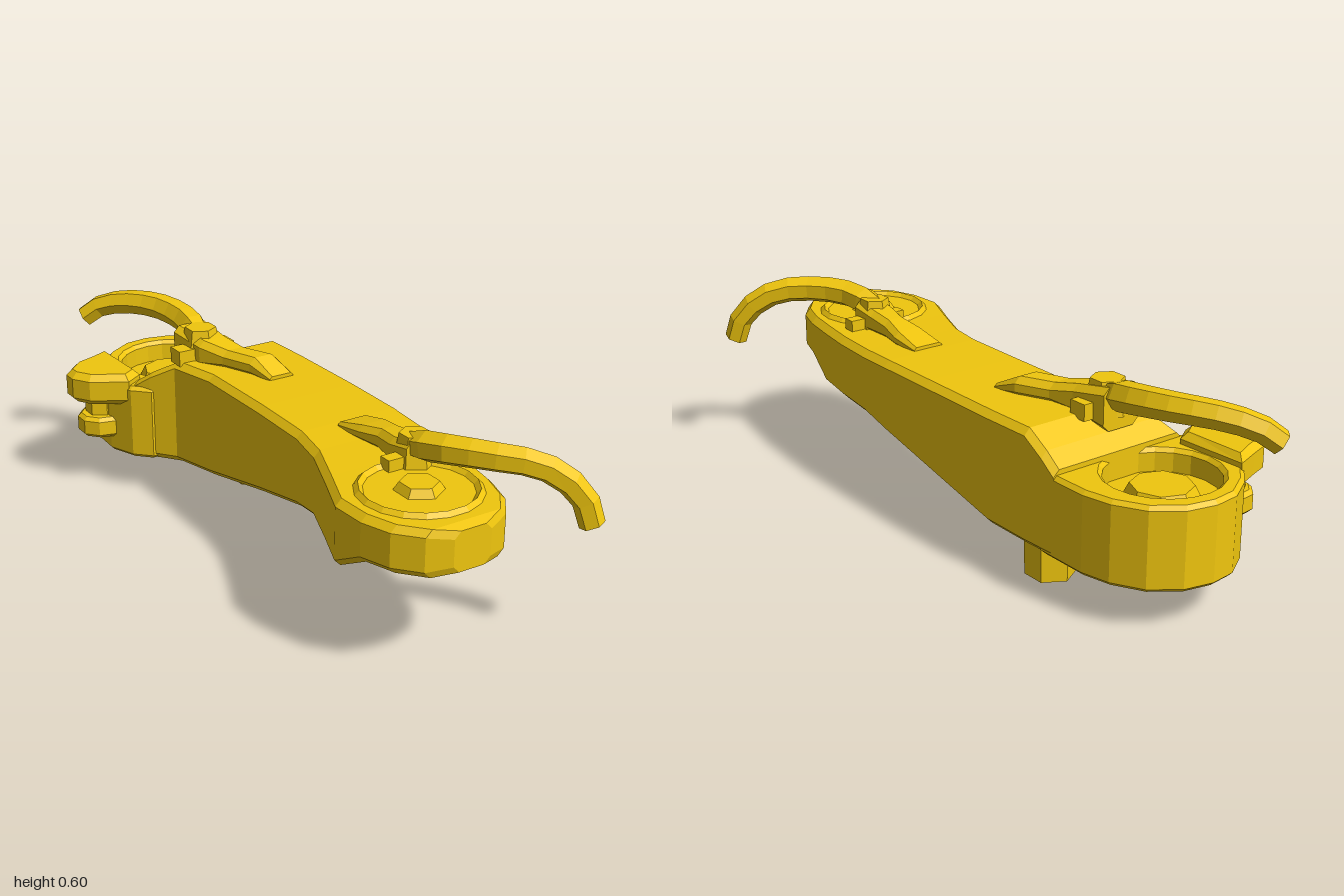
import * as THREE from 'three';

const yellow = new THREE.MeshStandardMaterial({ color: 0xf0c60e, flatShading: true, side: THREE.DoubleSide });

function add(parent, geometry, name, x = 0, y = 0, z = 0) {
  const mesh = new THREE.Mesh(geometry, yellow);
  mesh.name = name;
  mesh.position.set(x, y, z);
  parent.add(mesh);
  return mesh;
}

// Skin bevelled rectangular sections [z, left, right, bottom, top], ordered front to back.
function loft(sections, bevel) {
  const pos = [], index = [];
  for (const [z, l, r, b, t] of sections) {
    const c = Math.min(bevel, (r - l) / 3, (t - b) / 3);
    for (const [x, y] of [[l + c, b], [r - c, b], [r, b + c], [r, t - c], [r - c, t], [l + c, t], [l, t - c], [l, b + c]]) pos.push(x, y, z);
  }
  const n = 8, last = (sections.length - 1) * n;
  for (let s = 0; s < last; s += n) {
    for (let i = 0; i < n; i++) {
      const j = (i + 1) % n;
      index.push(s + i, s + n + i, s + j, s + j, s + n + i, s + n + j);
    }
  }
  for (let i = 1; i < n - 1; i++) index.push(0, i, i + 1, last, last + i + 1, last + i);
  const g = new THREE.BufferGeometry();
  g.setAttribute('position', new THREE.Float32BufferAttribute(pos, 3));
  g.setIndex(index);
  return g;
}

// Extrude a plan outline of [x, z] points upwards from y0 to y1.
function slab(points, y0, y1, bevel = 0.015, hole = null) {
  const shape = new THREE.Shape(points.map(([x, z]) => new THREE.Vector2(x, -z)));
  if (hole) shape.holes.push(new THREE.Path().absarc(hole[0], -hole[1], hole[2], 0, Math.PI * 2, true));
  const g = new THREE.ExtrudeGeometry(shape, {
    depth: y1 - y0 - 2 * bevel, bevelEnabled: bevel > 0, bevelSize: bevel, bevelThickness: bevel,
    bevelOffset: -bevel, bevelSegments: 1, curveSegments: 10,
  });
  g.rotateX(-Math.PI / 2);
  g.translate(0, y0 + bevel, 0);
  return g;
}

// Closed faceted tube through the points, narrowing a little towards its tip.
function hook(points, radius) {
  const curve = new THREE.CatmullRomCurve3(points.map((p) => new THREE.Vector3(...p)));
  const rows = 9, sides = 6;
  const g = new THREE.TubeGeometry(curve, rows, radius, sides, false);
  const p = g.attributes.position, v = new THREE.Vector3();
  for (let i = 0; i <= rows; i++) {
    const centre = curve.getPointAt(i / rows);
    const scale = i === 0 ? 0.8 : 1.1 - 0.25 * (i / rows);
    for (let j = 0; j <= sides; j++) {
      const k = i * (sides + 1) + j;
      v.fromBufferAttribute(p, k).sub(centre).multiplyScalar(scale).add(centre);
      p.setXYZ(k, v.x, v.y, v.z);
    }
  }
  const index = Array.from(g.index.array), end = rows * (sides + 1);
  for (let i = 1; i < sides - 1; i++) index.push(0, i, i + 1, end, end + i + 1, end + i);
  g.setIndex(index);
  return g;
}

export function createModel() {
  const model = new THREE.Group();
  model.name = 'linkArm';

  // Long beam: thin at the front, deeper at the back
  add(model, loft([
    [0.93, -0.09, 0.03, 0.34, 0.46],
    [0.90, -0.16, 0.10, 0.33, 0.47],
    [0.83, -0.22, 0.155, 0.33, 0.47],
    [0.74, -0.25, 0.185, 0.33, 0.47],
    [0.63, -0.255, 0.205, 0.27, 0.47],
    [0.50, -0.20, 0.225, 0.265, 0.47],
    [0.35, -0.14, 0.24, 0.26, 0.472],
    [0.22, -0.115, 0.247, 0.235, 0.475],
    [0, -0.11, 0.25, 0.19, 0.475],
    [-0.30, -0.11, 0.25, 0.125, 0.472],
    [-0.46, -0.145, 0.245, 0.12, 0.47],
    [-0.53, -0.20, 0.242, 0.12, 0.425],
    [-0.58, -0.235, 0.24, 0.12, 0.385],
  ], 0.02), 'beam');

  // Back head with an open round cup
  const headOutline = [
    [0.24, -0.53], [0.24, -0.70], [0.22, -0.79], [0.17, -0.88], [0.09, -0.94], [0, -0.96], [-0.08, -0.95],
    [-0.16, -0.90], [-0.22, -0.84], [-0.28, -0.79], [-0.285, -0.66], [-0.25, -0.57], [-0.20, -0.52],
  ];
  add(model, slab(headOutline, 0.12, 0.37, 0.012, [-0.015, -0.735, 0.165]), 'backHead');
  add(model, new THREE.CylinderGeometry(0.175, 0.175, 0.16, 20), 'cupFloor', -0.015, 0.22, -0.735);
  add(model, new THREE.CylinderGeometry(0.09, 0.11, 0.04, 8), 'cupBoss', -0.015, 0.315, -0.735);

  // Side lug: upper ear, narrow neck and lower ear
  const ear = [[-0.20, -0.85], [-0.28, -0.82], [-0.34, -0.80], [-0.395, -0.745], [-0.395, -0.70], [-0.36, -0.645], [-0.25, -0.58], [-0.19, -0.62]];
  add(model, slab(ear, 0.30, 0.405, 0.02), 'upperEar');
  add(model, new THREE.CylinderGeometry(0.05, 0.05, 0.12, 6), 'earNeck', -0.29, 0.27, -0.72);
  add(model, slab([[-0.25, -0.79], [-0.33, -0.78], [-0.365, -0.74], [-0.365, -0.69], [-0.33, -0.65], [-0.25, -0.63]], 0.175, 0.245, 0.012), 'lowerEar');

  // Front round plate with rim and hexagonal bolt
  const rim = new THREE.TorusGeometry(0.165, 0.013, 4, 18);
  rim.rotateX(Math.PI / 2);
  add(model, rim, 'plateRim', -0.03, 0.47, 0.695);
  add(model, new THREE.CylinderGeometry(0.055, 0.075, 0.03, 6), 'plateBolt', -0.03, 0.479, 0.695);

  // Pegs underneath
  add(model, new THREE.CylinderGeometry(0.078, 0.075, 0.14, 6), 'backPeg', 0.137, 0.07, -0.45);
  add(model, loft([[0.49, -0.09, -0.005, 0.2, 0.29], [0.42, -0.125, 0.01, 0.195, 0.29], [0.35, -0.10, 0, 0.2, 0.27]], 0.02), 'frontPeg');

  // Front cable: flat lead, clamp and curved hook
  const front = new THREE.Group();
  front.name = 'frontCable';
  model.add(front);
  add(front, loft([[0.58, 0.01, 0.115, 0.46, 0.55], [0.50, 0.01, 0.11, 0.46, 0.535], [0.42, 0.025, 0.11, 0.46, 0.525],
    [0.34, 0.015, 0.125, 0.46, 0.51], [0.24, 0.015, 0.12, 0.46, 0.485]], 0.018), 'frontLead');
  add(front, new THREE.BoxGeometry(0.20, 0.04, 0.04), 'frontClampBar', 0.06, 0.485, 0.55);
  add(front, new THREE.CylinderGeometry(0.045, 0.06, 0.09, 6), 'frontClamp', 0.06, 0.515, 0.55);
  add(front, hook([[0.05, 0.525, 0.54], [0.08, 0.55, 0.67], [0.16, 0.553, 0.79], [0.25, 0.535, 0.87], [0.33, 0.46, 0.935], [0.352, 0.375, 0.96]], 0.043), 'frontHook');

  // Back cable: flat lead, clamp and curved hook
  const back = new THREE.Group();
  back.name = 'backCable';
  model.add(back);
  add(back, loft([[-0.16, 0.03, 0.115, 0.46, 0.485], [-0.24, 0.005, 0.105, 0.46, 0.525], [-0.34, -0.035, 0.06, 0.46, 0.525],
    [-0.42, -0.075, 0.04, 0.45, 0.54], [-0.54, -0.10, 0.03, 0.43, 0.56]], 0.02), 'backLead');
  add(back, new THREE.BoxGeometry(0.20, 0.05, 0.06), 'backClampBar', -0.035, 0.485, -0.47);
  add(back, new THREE.CylinderGeometry(0.05, 0.07, 0.10, 6), 'backClamp', -0.035, 0.515, -0.48);
  add(back, hook([[-0.025, 0.525, -0.50], [-0.015, 0.545, -0.62], [-0.04, 0.555, -0.75], [-0.10, 0.55, -0.86], [-0.165, 0.525, -0.94], [-0.21, 0.485, -0.975]], 0.043), 'backHook');

  return model;
}
